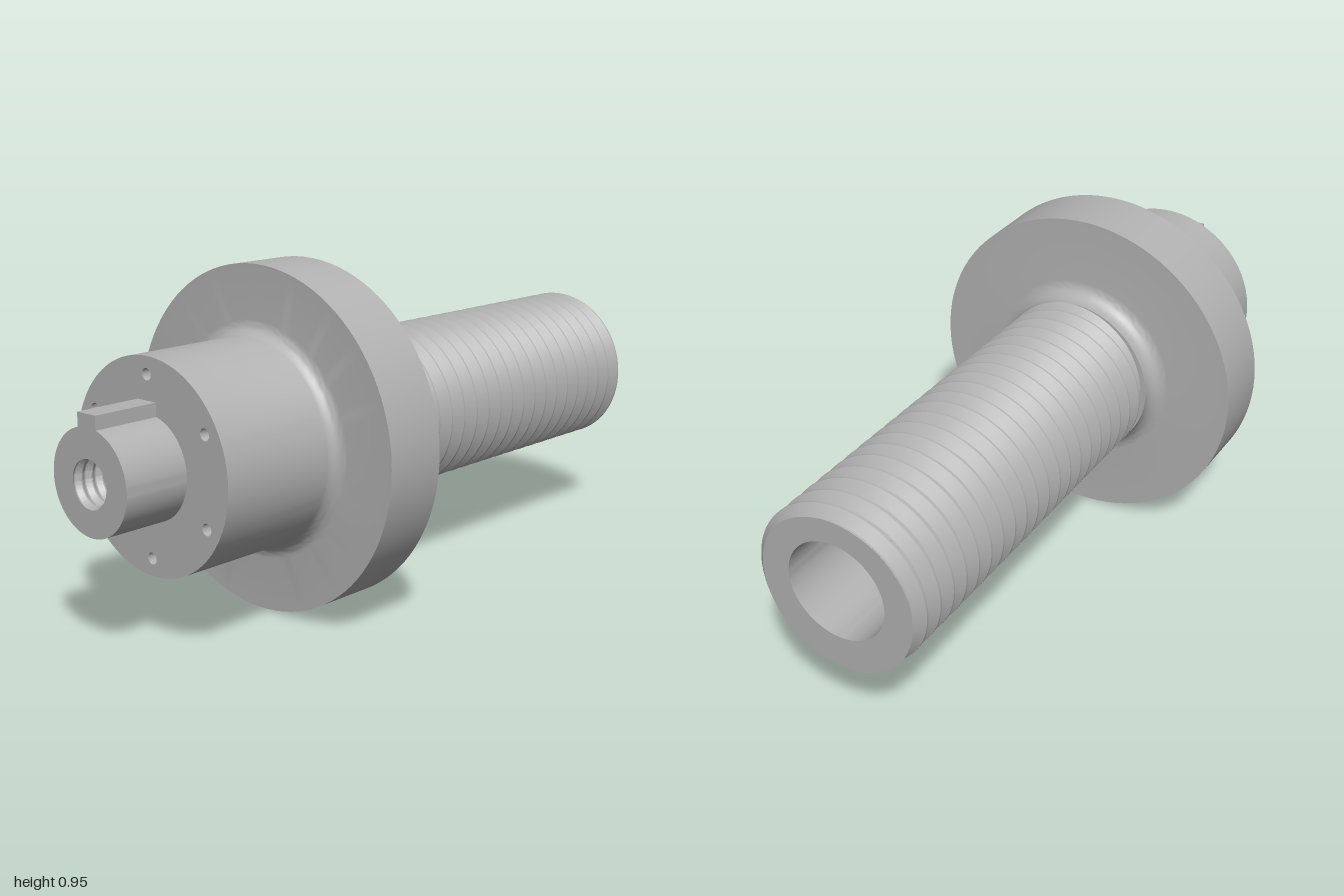
import * as THREE from 'three';
import { toCreasedNormals } from 'three/addons/utils/BufferGeometryUtils.js';

const SEG = 96;
const AXIS_Y = 0.477;
const steel = new THREE.MeshStandardMaterial({ color: 0xb2b2b2 });
steel.name = 'steel grey';

function part(name, geometry) {
  const mesh = new THREE.Mesh(geometry, steel);
  mesh.name = name;
  return mesh;
}

// Turned surface about the x axis from [x, radius] pairs
function turned(profile, segments = SEG) {
  const g = new THREE.LatheGeometry(profile.map(([x, r]) => new THREE.Vector2(r, x)), segments);
  g.rotateZ(-Math.PI / 2);
  return toCreasedNormals(g, 0.5);
}

// Quarter-circle fillet, centred at (cx, cr), from angle a0 to a1
function fillet(cx, cr, rad, a0, a1, n = 8) {
  return Array.from({ length: n + 1 }, (_, i) => {
    const a = a0 + (a1 - a0) * i / n;
    return [cx + rad * Math.cos(a), cr + rad * Math.sin(a)];
  });
}

// Right-hand helical thread between x0 and x1, trimmed flat at both ends
function thread({ x0, x1, root, crest, pitch, capStart, capEnd, inside = false }) {
  const phases = [0, 0.1, 0.5, 0.6, 1];
  const radii = [root, root, crest, crest, root];
  const origin = x1 - 1.05 * pitch;
  const radiusAt = (x, t) => {
    let p = (x - origin) / pitch - t;
    p -= Math.floor(p);
    const i = Math.max(1, phases.findIndex(v => v >= p));
    const f = (p - phases[i - 1]) / (phases[i] - phases[i - 1]);
    return radii[i - 1] + (radii[i] - radii[i - 1]) * f;
  };
  const turns = Math.ceil((x1 - x0) / pitch) + 2;
  const rows = [];
  if (capStart) rows.push(() => [x0, capStart]);
  for (let k = -turns; k <= 2; k++) {
    for (let i = 0; i < 4; i++) {
      rows.push(t => {
        const x = origin + (k + phases[i] + t) * pitch;
        if (x > x0 && x < x1) return [x, radii[i]];
        const cx = Math.min(x1, Math.max(x0, x));
        return [cx, radiusAt(cx, t)];
      });
    }
  }
  if (capEnd) rows.push(() => [x1, capEnd]);

  const pos = [], index = [];
  rows.forEach((row, i) => {
    for (let j = 0; j <= SEG; j++) {
      const t = j / SEG, a = t * Math.PI * 2;
      const [x, r] = row(t);
      pos.push(x, r * Math.cos(a), r * Math.sin(a));
      if (i === rows.length - 1 || j === SEG) continue;
      const p = i * (SEG + 1) + j, q = p + SEG + 1;
      if (inside) index.push(p, q, p + 1, p + 1, q, q + 1);
      else index.push(p, p + 1, q, p + 1, q + 1, q);
    }
  });
  const g = new THREE.BufferGeometry();
  g.setAttribute('position', new THREE.Float32BufferAttribute(pos, 3));
  g.setIndex(index);
  return toCreasedNormals(g, 0.4);
}

export function createModel() {
  const model = new THREE.Group();
  model.name = 'threadedFlangeShaft';
  const body = new THREE.Group();
  body.name = 'shaftBody';
  body.position.y = AXIS_Y;
  model.add(body);

  // Stub with its tapped hole
  body.add(part('stubShaft', turned([[-1, 0.1], [-1, 0.14], [-0.81, 0.14]])));
  body.add(part('tappedHole', thread({
    x0: -1, x1: -0.6, root: 0.068, crest: 0.06, pitch: 0.032, capStart: 0.1, inside: true,
  })));

  // Key along the top of the stub
  const key = part('key', new THREE.BoxGeometry(0.19, 0.045, 0.068));
  key.position.set(-0.905, 0.1505, -0.002);
  body.add(key);

  // Hub end face with a ring of six blind holes
  const face = new THREE.Shape();
  face.absarc(0, 0, 0.287, 0, Math.PI * 2);
  const cut = (x, y, r) => {
    const hole = new THREE.Path();
    hole.absarc(x, y, r, 0, Math.PI * 2, true);
    face.holes.push(hole);
  };
  cut(0, 0, 0.139);
  for (let i = 0; i < 6; i++) {
    const a = Math.PI / 2 + i * Math.PI / 3;
    const z = 0.24 * Math.cos(a), y = 0.24 * Math.sin(a);
    cut(z, y, 0.016);
    const hole = part('boltHole' + (i + 1),
      turned([[-0.69, 0], [-0.69, 0.016], [-0.81, 0.016]], 24));
    hole.position.set(0, y, z);
    body.add(hole);
  }
  const faceGeometry = new THREE.ShapeGeometry(face, 48);
  faceGeometry.rotateY(-Math.PI / 2);
  const hubFace = part('hubFace', faceGeometry);
  hubFace.position.x = -0.81;
  body.add(hubFace);

  // Hub, flange and neck with blended corners
  body.add(part('hubAndFlange', turned([
    [-0.81, 0.287],
    ...fillet(-0.47, 0.327, 0.04, -Math.PI / 2, 0),
    [-0.43, 0.477], [-0.24, 0.477],
    ...fillet(-0.195, 0.283, 0.045, Math.PI, Math.PI * 1.5),
    [-0.185, 0.238], [-0.185, 0.2],
  ])));

  // Long external thread, closed by the end ring around the bore
  body.add(part('externalThread', thread({
    x0: -0.187, x1: 1, root: 0.21, crest: 0.238, pitch: 0.058, capEnd: 0.143,
  })));

  // Blind bore from the threaded end
  body.add(part('bore', turned([[1, 0.143], [-0.6, 0.143], [-0.6, 0.06]])));

  return model;
}
